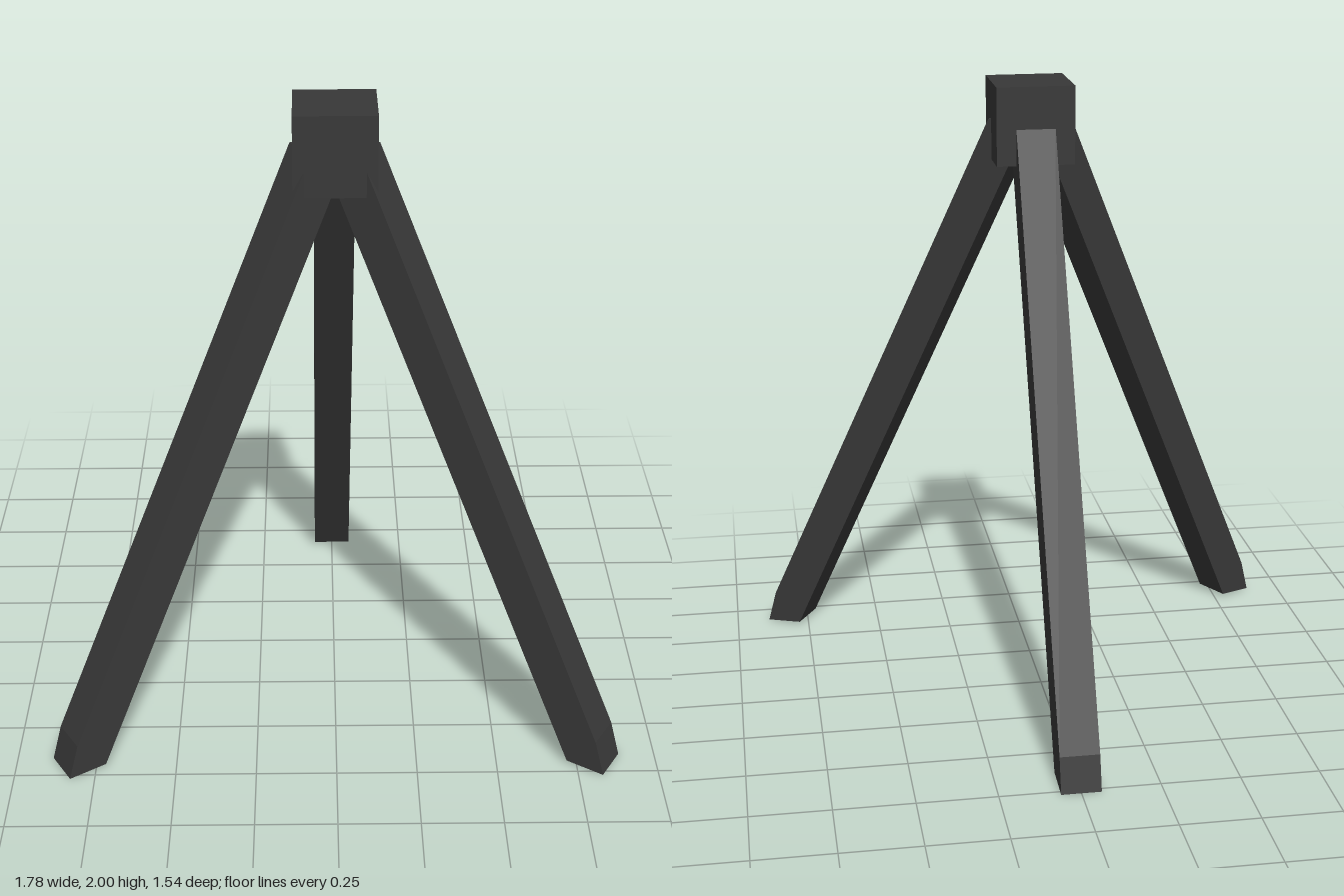
import * as THREE from 'three';

const HEAD = 0.25;      // edge length of the top block
const LEG_WIDTH = 0.125;
const AXIS_Z = 0.22;    // the legs spread from this vertical axis

export function createModel() {
  const group = new THREE.Group();
  const charcoal = new THREE.MeshStandardMaterial({ color: 0x383838 });
  charcoal.name = 'charcoal';

  // Block joining the legs
  const head = new THREE.Mesh(new THREE.BoxGeometry(HEAD, HEAD, HEAD), charcoal);
  head.name = 'head';
  head.position.set(0, 2 - HEAD / 2, AXIS_Z);
  group.add(head);

  // Leg side profile (distance from axis, height), with a slightly bent foot
  const profile = new THREE.Shape([
    [0.867, 0.01], [0.99, 0], [0.959, 0.11], [0.118, 1.88], [-0.02, 1.88],
  ].map(([r, y]) => new THREE.Vector2(r, y)));
  const legGeometry = new THREE.ExtrudeGeometry(profile, { depth: LEG_WIDTH, bevelEnabled: false });
  legGeometry.translate(0, 0, -LEG_WIDTH / 2);

  // Three legs, 120 degrees apart
  const angles = { leftLeg: -30, backLeg: 90, rightLeg: 210 };
  for (const [name, degrees] of Object.entries(angles)) {
    const leg = new THREE.Mesh(legGeometry, charcoal);
    leg.name = name;
    leg.position.z = AXIS_Z;
    leg.rotation.y = THREE.MathUtils.degToRad(degrees);
    group.add(leg);
  }
  return group;
}
